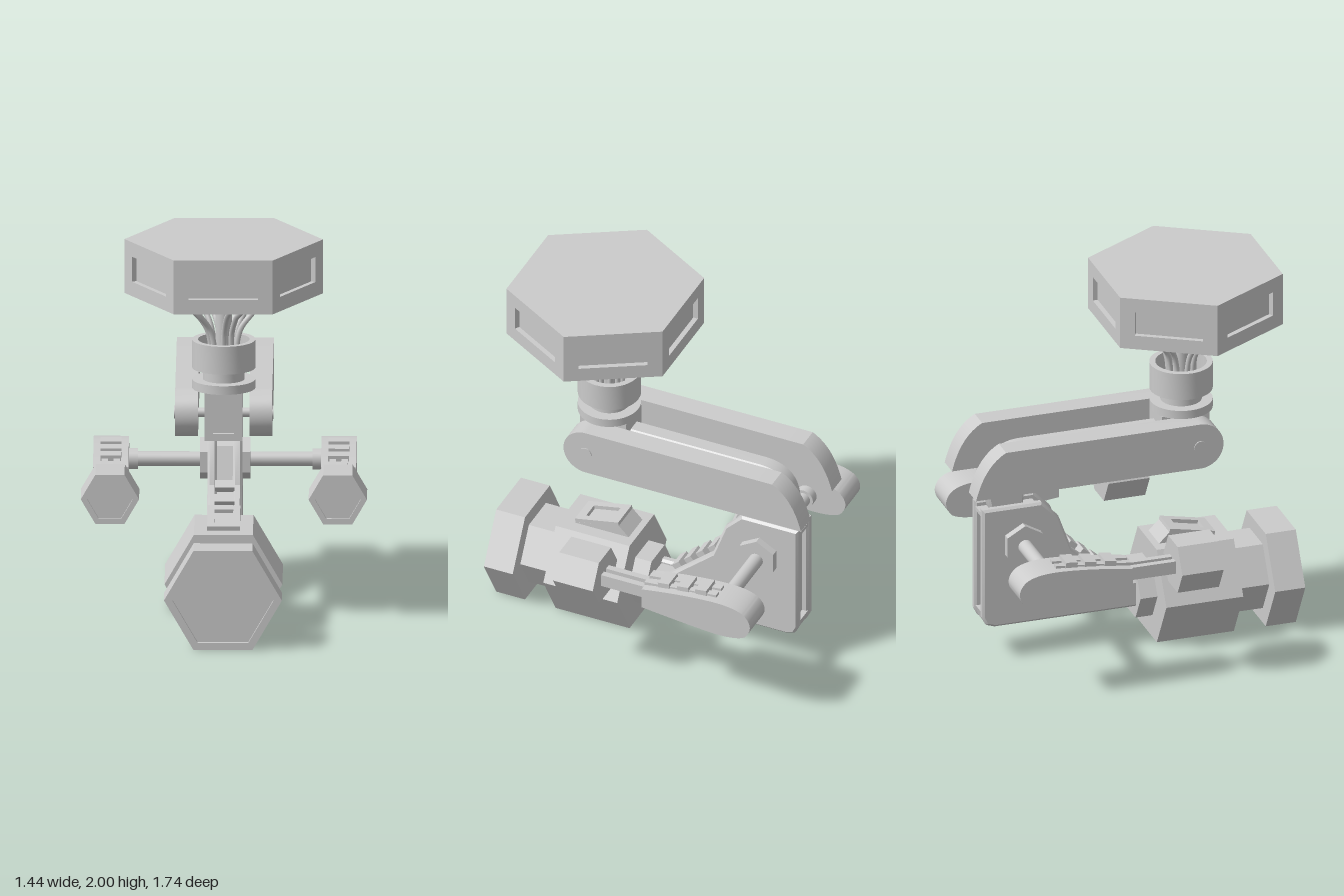
import * as THREE from 'three';
import { toCreasedNormals } from 'three/addons/utils/BufferGeometryUtils.js';

const mat = new THREE.MeshStandardMaterial({ color: 0xcccccc });

export function createModel() {
  const model = new THREE.Group();

  const add = (name, geo, x = 0, y = 0, z = 0, parent = model) => {
    const m = new THREE.Mesh(geo, mat);
    m.name = name;
    m.position.set(x, y, z);
    parent.add(m);
    return m;
  };
  const poly = (pts) => new THREE.Shape(pts.map(([a, b]) => new THREE.Vector2(a, b)));
  const rect = (w, h) => poly([[-w / 2, -h / 2], [w / 2, -h / 2], [w / 2, h / 2], [-w / 2, h / 2]]);
  const hex = (r) => poly([0, 1, 2, 3, 4, 5].map((i) => [r * Math.cos(i * Math.PI / 3), r * Math.sin(i * Math.PI / 3)]));
  const extrude = (shape, depth, bevel = 0) => new THREE.ExtrudeGeometry(shape, {
    depth: depth - 2 * bevel, bevelEnabled: bevel > 0, bevelThickness: bevel, bevelSize: bevel,
    bevelOffset: -bevel, bevelSegments: 1, curveSegments: 16,
  }).translate(0, 0, bevel);
  // Side profile drawn in (z, y), given a width along x
  const side = (shape, width, bevel = 0) => toCreasedNormals(
    extrude(shape, width, bevel).translate(0, 0, -width / 2).rotateY(-Math.PI / 2), 0.45);
  // Outline with a hole, used as the rim of a sunken panel
  const rim = (outer, inner, depth) => {
    outer.holes.push(inner);
    return extrude(outer, depth);
  };
  const hexPrism = (name, r, y, z0, z1, x = 0) => add(name, extrude(hex(r), z1 - z0), x, y, z0);
  const rodX = (name, r, x0, x1, y, z, n = 24) =>
    add(name, new THREE.CylinderGeometry(r, r, x1 - x0, n).rotateZ(Math.PI / 2), (x0 + x1) / 2, y, z);

  // Head: hexagonal core wrapped in six walls with sunken windows
  const head = new THREE.Group();
  head.name = 'head';
  head.position.set(0, 1.86, 0.333);
  model.add(head);
  const apothem = 0.5 * Math.cos(Math.PI / 6);
  const core = extrude(hex(0.47), 0.28).translate(0, 0, -0.14).rotateX(-Math.PI / 2);
  add('headCore', core, 0, 0, 0, head);
  for (let i = 0; i < 6; i++) {
    const wall = rim(rect(0.5, 0.28), rect(0.35, 0.13), 0.03);
    wall.translate(0, 0, apothem - 0.03).rotateY(i * Math.PI / 3);
    add('headWall', wall, 0, 0, 0, head);
  }

  // Neck: open collar on a stepped base, with a central post
  const collar = [[0, 1.225], [0.16, 1.225], [0.16, 1.27], [0.105, 1.27], [0.105, 1.33], [0.16, 1.33],
    [0.16, 1.475], [0.13, 1.475], [0.13, 1.38], [0, 1.38]].map(([r, y]) => new THREE.Vector2(r, y));
  add('neckCollar', toCreasedNormals(new THREE.LatheGeometry(collar, 40), 0.5), 0, 0, 0.31);
  add('neckPost', new THREE.CylinderGeometry(0.042, 0.042, 0.36, 24), 0, 1.55, 0.31);

  // Cables fanning out from the collar to the head
  for (let i = 0; i < 9; i++) {
    const a = i * Math.PI * 2 / 9 + 0.25;
    const reach = 0.19 + 0.03 * ((i * 2) % 3);
    const path = [[0.065, 1.37], [0.07, 1.47], [0.09, 1.54], [0.15, 1.62], [reach, 1.68], [reach + 0.03, 1.74]]
      .map(([r, y], k) => {
        const t = a + 0.06 * k * (i % 2 ? 1 : -1);
        return new THREE.Vector3(r * Math.cos(t), y, 0.31 + r * Math.sin(t));
      });
    add('cable', new THREE.TubeGeometry(new THREE.CatmullRomCurve3(path), 20, 0.014, 8));
  }

  // Swivel block with a sunken front panel, and its pivot pin
  add('swivelBlock', new THREE.BoxGeometry(0.19, 0.25, 0.235), 0, 1.1, 0.2925);
  add('swivelPanelRim', rim(rect(0.19, 0.25), rect(0.105, 0.175), 0.02), 0, 1.1, 0.41);
  rodX('pivotPin', 0.024, -0.14, 0.14, 1.1, 0.33);

  // Twin upper arms: rounded front, curved tail
  for (const s of [-1, 1]) {
    const arm = new THREE.Shape();
    arm.moveTo(0.33, 0.98);
    arm.absarc(0.33, 1.1025, 0.1225, -Math.PI / 2, Math.PI / 2, false);
    arm.lineTo(-0.705, 1.225);
    arm.quadraticCurveTo(-0.82, 1.165, -0.865, 0.98);
    add('upperArm', side(arm, 0.115), s * 0.187, 0, 0);
    const [a, b] = [0.235 * s, 0.25 * s];
    rodX('pivotCap', 0.033, Math.min(a, b), Math.max(a, b), 1.1, 0.33);
  }

  // Inner beam running back between the arms and bending down
  const beam = new THREE.Shape();
  beam.moveTo(0.2, 1.16);
  beam.lineTo(-0.55, 1.16);
  beam.quadraticCurveTo(-0.735, 1.15, -0.735, 0.95);
  beam.quadraticCurveTo(-0.735, 0.88, -0.71, 0.8);
  beam.lineTo(-0.55, 0.8);
  beam.quadraticCurveTo(-0.54, 0.84, -0.54, 0.9);
  beam.quadraticCurveTo(-0.54, 0.99, -0.45, 1.0);
  beam.lineTo(0.2, 1.0);
  add('innerBeam', side(beam, 0.09, 0.01));

  // Body bracket: two cheeks around a core that is sunken at the back
  const front = [[0.065, 0.185], [0.065, 0.33], [-0.03, 0.33], [-0.3, 0.56], [-0.37, 0.75], [-0.46, 0.84]];
  const cheek = [...front, [-0.775, 0.84], [-0.775, 0.24], [-0.755, 0.2], [-0.71, 0.185]];
  const spine = [[0.065, 0.19], [0.065, 0.31], [-0.04, 0.31], [-0.32, 0.55], [-0.39, 0.74], [-0.47, 0.81],
    [-0.77, 0.81], [-0.77, 0.79], [-0.74, 0.79], [-0.74, 0.26], [-0.77, 0.26], [-0.755, 0.205], [-0.71, 0.19]];
  for (const s of [-1, 1]) add('bracketCheek', side(poly(cheek), 0.048, 0.012), s * 0.064);
  add('bracketCore', side(poly(spine), 0.09));
  for (let i = 0; i < 4; i++) {
    const tread = add('bracketTread', new THREE.BoxGeometry(0.1, 0.04, 0.048), 0, 0.39 + i * 0.056, -0.09 - i * 0.066);
    tread.rotation.x = 0.705;
  }

  // Cross axle with hexagonal nuts
  rodX('crossAxle', 0.037, -0.5, 0.5, 0.63, -0.563);
  for (const s of [-1, 1]) {
    const nut = extrude(hex(0.108), 0.05).translate(0, 0, -0.025).rotateZ(Math.PI / 2).rotateY(Math.PI / 2);
    add('axleNut', nut, s * 0.102, 0.635, -0.563);
  }

  // Side pods on the axle, each carrying a hexagonal lamp on two rails
  for (const s of [-1, 1]) {
    const x = 0.574 * s;
    const [a, b] = [0.44 * s, 0.495 * s];
    rodX('axleCollar', 0.053, Math.min(a, b), Math.max(a, b), 0.63, -0.563);
    const pod = new THREE.Shape();
    pod.moveTo(-0.174, 0.573);
    pod.lineTo(-0.174, 0.685);
    pod.quadraticCurveTo(-0.42, 0.725, -0.58, 0.727);
    pod.quadraticCurveTo(-0.7, 0.727, -0.745, 0.69);
    pod.quadraticCurveTo(-0.805, 0.63, -0.745, 0.56);
    pod.quadraticCurveTo(-0.7, 0.53, -0.58, 0.532);
    pod.quadraticCurveTo(-0.45, 0.54, -0.174, 0.573);
    add('sidePod', side(pod, 0.178), x);
    for (const r of [-0.03, 0.03]) {
      add('lampRail', new THREE.BoxGeometry(0.033, 0.068, 0.28), x + r, 0.636, -0.06);
      const strip = add('podStrip', new THREE.BoxGeometry(0.033, 0.02, 0.4), x + r, 0.711, -0.37);
      strip.rotation.x = 0.1;
    }
    [-0.28, -0.387, -0.487].forEach((z, i) => {
      const cleat = add('podCleat', new THREE.BoxGeometry(0.105, 0.04, 0.062), x, 0.709 + i * 0.011, z);
      cleat.rotation.x = 0.12;
    });
    hexPrism('lampBody', 0.147, 0.635, 0.07, 0.275, x);
    add('lampRim', rim(hex(0.147), hex(0.115), 0.015), x, 0.635, 0.275);
  }

  // Lower main lamp: stepped hexagonal barrel
  hexPrism('barrelNeck', 0.16, 0.26, 0.04, 0.14);
  hexPrism('barrelRear', 0.297, 0.258, 0.13, 0.54);
  hexPrism('barrelWaist', 0.205, 0.26, 0.53, 0.72);
  hexPrism('barrelFront', 0.297, 0.258, 0.71, 0.85);
  add('barrelRim', rim(hex(0.297), hex(0.255), 0.02), 0, 0.258, 0.85);

  // Sloped hatch on top of the barrel, framed around a sunken panel
  add('hatchBase', side(poly([[0.46, 0.5], [0.46, 0.52], [0.22, 0.57], [0.15, 0.5]]), 0.165));
  const hatch = add('hatchRim', rim(rect(0.165, 0.245), rect(0.095, 0.15), 0.02), 0, 0.545, 0.34);
  hatch.rotation.x = -Math.PI / 2 + 0.2;

  return model;
}
